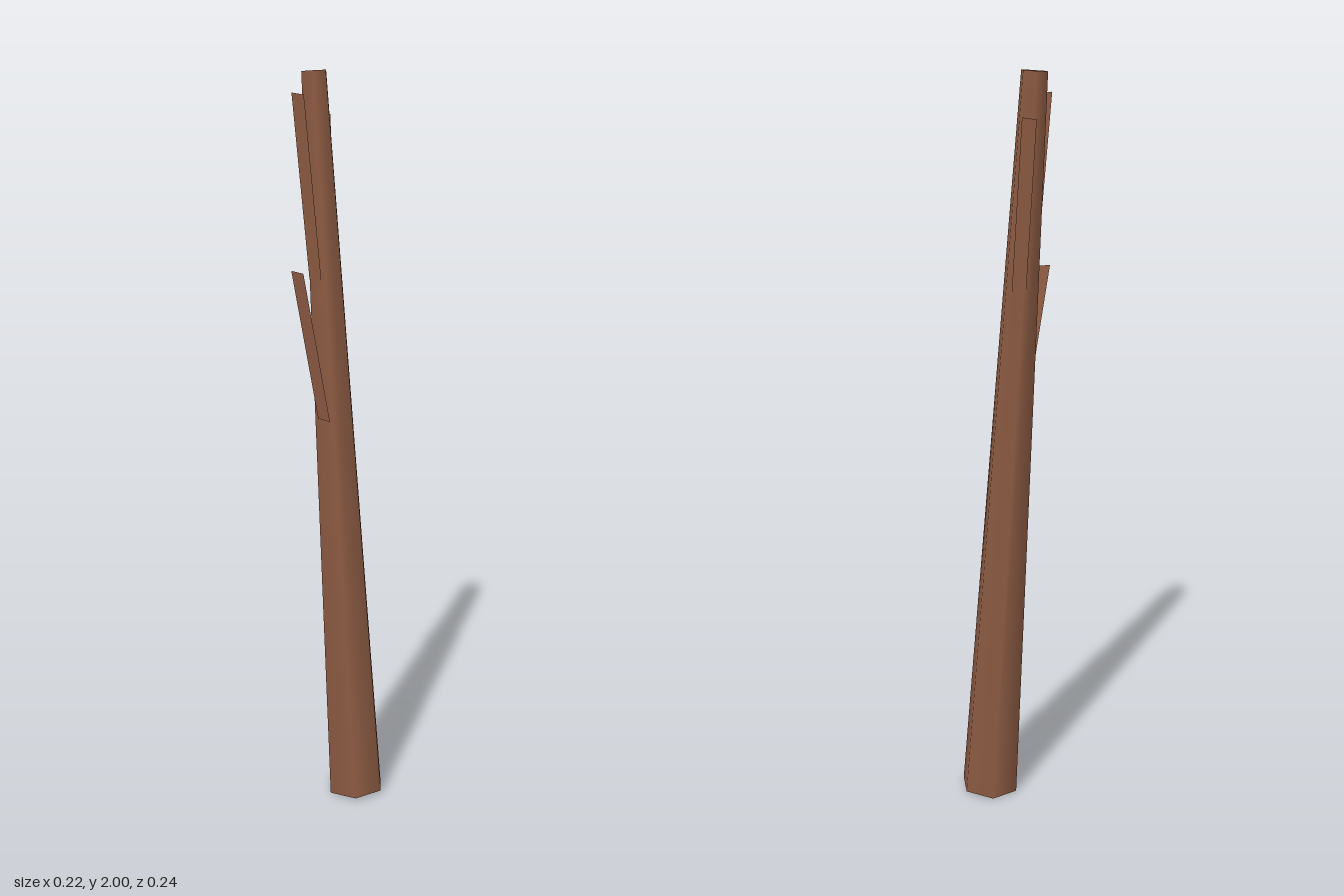
import * as THREE from 'three';

const V = (x, y, z) => new THREE.Vector3(x, y, z);

// Flat parallelogram strip: two base corners swept up to the tip
function twig(name, material, baseA, baseB, sweep) {
  const corners = [baseA, baseB, baseA.clone().add(sweep), baseB.clone().add(sweep)];
  const geometry = new THREE.BufferGeometry().setFromPoints(corners);
  geometry.setIndex([0, 1, 3, 0, 3, 2]);
  geometry.computeVertexNormals();
  const mesh = new THREE.Mesh(geometry, material);
  mesh.name = name;
  return mesh;
}

export function createModel() {
  const group = new THREE.Group();
  group.name = 'bareTree';
  const bark = new THREE.MeshStandardMaterial({ color: 0x8b5a42 });
  const twigBark = new THREE.MeshStandardMaterial({ color: 0x8b5a42, side: THREE.DoubleSide });

  // Leaning, tapered six-sided trunk
  const foot = V(0.034, 0.008, 0.039);
  const head = V(-0.006, 1.998, -0.077);
  const axis = head.clone().sub(foot);
  const geometry = new THREE.CylinderGeometry(0.036, 0.0825, axis.length(), 6);
  geometry.rotateY(THREE.MathUtils.degToRad(11));
  const trunk = new THREE.Mesh(geometry, bark);
  trunk.name = 'trunk';
  trunk.position.copy(foot).lerp(head, 0.5);
  trunk.quaternion.setFromUnitVectors(V(0, 1, 0), axis.normalize());
  group.add(trunk);

  // Thin twigs growing out of the trunk
  group.add(
    twig('lowerRightTwig', twigBark, V(-0.045, 1.1, -0.03), V(-0.037, 1.095, 0.005), V(-0.068, 0.4, -0.03)),
    twig('upperRightTwig', twigBark, V(-0.044, 1.47, -0.06), V(-0.037, 1.465, -0.024), V(-0.044, 0.475, -0.018)),
    twig('leftTwig', twigBark, V(0.034, 1.42, -0.078), V(0.05, 1.425, -0.045), V(0.021, 0.463, -0.045)),
  );
  return group;
}
